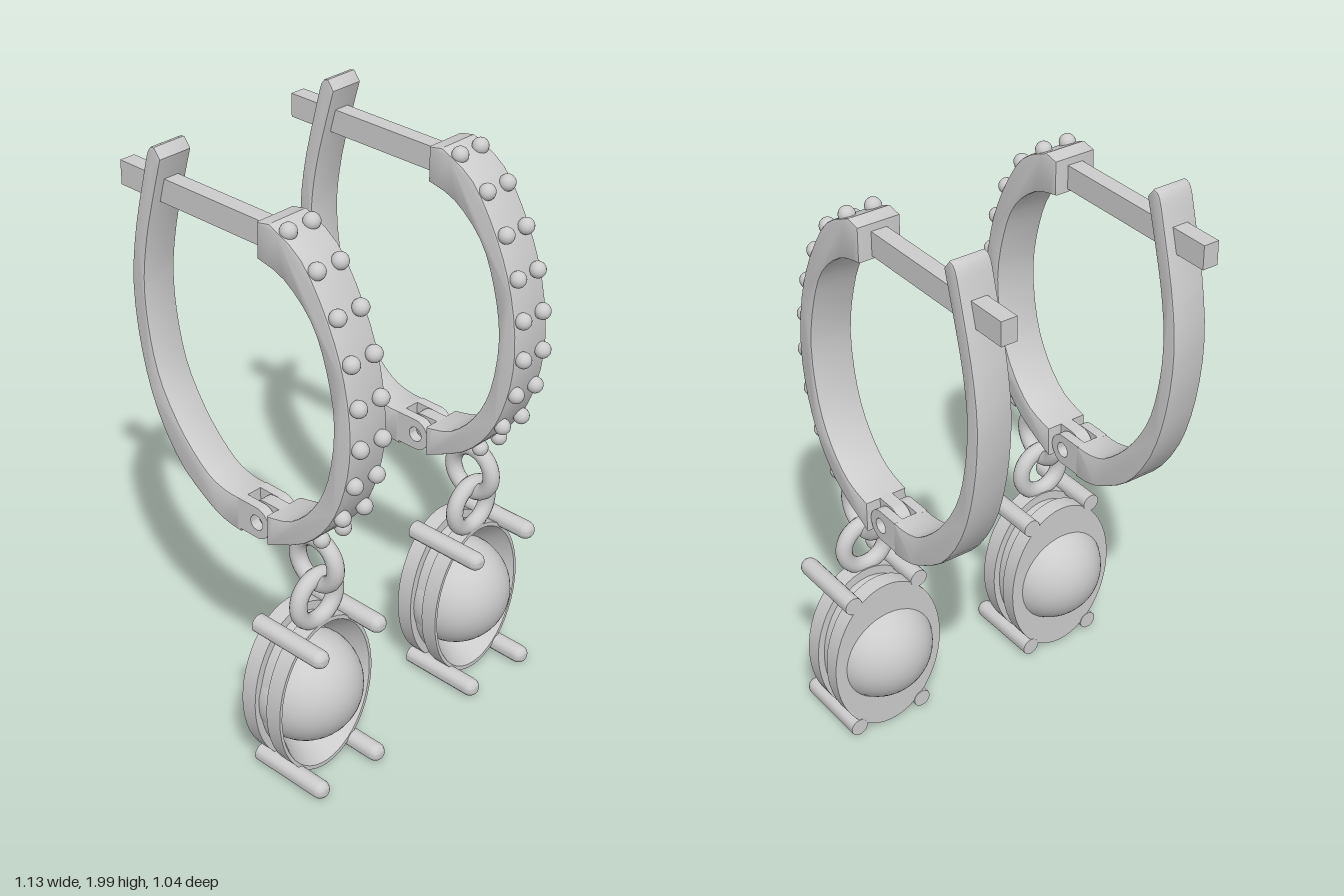
import * as THREE from 'three';
import { toCreasedNormals } from 'three/addons/utils/BufferGeometryUtils.js';

const material = new THREE.MeshStandardMaterial({ color: 0xcccccc });

function addMesh(parent, name, geometry, x = 0, y = 0, z = 0) {
  const mesh = new THREE.Mesh(geometry, material);
  mesh.name = name;
  mesh.position.set(x, y, z);
  parent.add(mesh);
  return mesh;
}

const toVectors = (pts) => pts.map(([z, y]) => new THREE.Vector2(z, y));
const smooth = (pts, n) => new THREE.SplineCurve(toVectors(pts)).getPoints(n);

// Extrude a side profile drawn in (z, y) across x, centred on x = 0
function sideExtrude(shape, width, bevel = 0) {
  const geo = new THREE.ExtrudeGeometry(shape, {
    depth: width - 2 * bevel, curveSegments: 20, bevelEnabled: bevel > 0,
    bevelSize: bevel, bevelThickness: bevel, bevelOffset: -bevel, bevelSegments: 2,
  });
  geo.translate(0, 0, -(width - 2 * bevel) / 2);
  geo.rotateY(-Math.PI / 2);
  return toCreasedNormals(geo, 0.6);
}

// Hinge knuckle with a pin hole and an arm reaching from its centre along z
function knuckle(reach, width) {
  const r = 0.055, s = Math.sign(reach);
  const shape = new THREE.Shape();
  shape.moveTo(reach, r);
  shape.lineTo(0, r);
  shape.absarc(0, 0, r, Math.PI / 2, -Math.PI / 2, s < 0);
  shape.lineTo(reach, -r);
  const hole = new THREE.Path();
  hole.absarc(0, 0, 0.026, 0, Math.PI * 2, false);
  shape.holes.push(hole);
  return sideExtrude(shape, width);
}

function createHoop() {
  const hoop = new THREE.Group();
  hoop.name = 'hoop';

  // Front band: outer curve down, inner curve back up
  const bandOuter = [[0.165, 1.925], [0.29, 1.857], [0.394, 1.7], [0.458, 1.53], [0.482, 1.34],
    [0.458, 1.17], [0.394, 1.02], [0.288, 0.907], [0.13, 0.828]];
  const bandInner = [[0.13, 0.934], [0.235, 0.965], [0.325, 1.05], [0.389, 1.18], [0.415, 1.37],
    [0.384, 1.544], [0.325, 1.677], [0.22, 1.77], [0.115, 1.8]];
  const band = new THREE.Shape([...smooth(bandOuter, 24), ...smooth(bandInner, 24),
    new THREE.Vector2(0.115, 1.915)]);
  addMesh(hoop, 'frontBand', sideExtrude(band, 0.15, 0.006));

  // Two rows of beads
  const beads = [[0.214, 1.91], [0.325, 1.825], [0.405, 1.708], [0.458, 1.58], [0.486, 1.448],
    [0.494, 1.316], [0.472, 1.183], [0.424, 1.05], [0.337, 0.934]];
  const beadGeo = new THREE.SphereGeometry(0.027, 16, 12);
  for (const [z, y] of beads) {
    for (const side of [-1, 1]) addMesh(hoop, 'bead', beadGeo, side * 0.046, y, z);
  }

  // Rear lever with a flared, rounded tip
  const leverOuter = [[0.0, 0.812], [-0.07, 0.82], [-0.15, 0.854], [-0.272, 0.944], [-0.373, 1.1],
    [-0.431, 1.29], [-0.453, 1.5], [-0.431, 1.69], [-0.378, 1.9], [-0.352, 1.985], [-0.325, 2.0]];
  const leverInner = [[-0.3, 1.968], [-0.336, 1.846], [-0.378, 1.687], [-0.4, 1.53], [-0.389, 1.37],
    [-0.347, 1.21], [-0.257, 1.066], [-0.15, 0.965], [-0.07, 0.935], [0.0, 0.932]];
  const lever = new THREE.Shape([...smooth(leverOuter, 28), ...smooth(leverInner, 28)]);
  addMesh(hoop, 'lever', sideExtrude(lever, 0.122, 0.005));

  // Hinge: two lever cheeks around the tongue of the band
  const cheek = knuckle(-0.08, 0.034), tongue = knuckle(0.08, 0.046);
  for (const side of [-1, 1]) addMesh(hoop, 'hingeCheek', cheek, side * 0.044, 0.877, 0.072);
  addMesh(hoop, 'hingeTongue', tongue, 0, 0.88, 0.072);

  // Straight ear post
  addMesh(hoop, 'earPost', new THREE.BoxGeometry(0.055, 0.08, 0.65), 0, 1.85, -0.195);

  // Two interlocking links
  const link = new THREE.TorusGeometry(0.081, 0.028, 14, 36);
  addMesh(hoop, 'upperLink', link, 0, 0.803, 0.27).rotation.y = Math.PI / 2;
  addMesh(hoop, 'lowerLink', link, 0, 0.665, 0.27);
  return hoop;
}

function createPendant() {
  const pendant = new THREE.Group();
  pendant.name = 'pendant';
  pendant.position.y = 0.297;

  // Oval setting: flat back plate, groove, front bezel and sloping bowl (radius, z)
  const profile = [[0, 0.13], [1, 0.13], [1, 0.187], [0.89, 0.187], [0.89, 0.238], [1, 0.238],
    [1, 0.297], [0.95, 0.297], [0.72, 0.2], [0, 0.2]];
  const setting = new THREE.LatheGeometry(toVectors(profile), 48);
  setting.rotateX(Math.PI / 2);
  setting.scale(0.207, 0.288, 1);
  addMesh(pendant, 'setting', toCreasedNormals(setting, 0.6));

  // Round stone
  const stone = new THREE.SphereGeometry(0.187, 40, 28);
  stone.rotateX(Math.PI / 2);
  addMesh(pendant, 'stone', stone, -0.005, 0, 0.208);

  // Four prongs, flat at the back and domed in front
  const prongProfile = [new THREE.Vector2(0, 0.128), new THREE.Vector2(0.031, 0.128)];
  for (let i = 0; i <= 6; i++) {
    const a = (i / 6) * Math.PI / 2;
    prongProfile.push(new THREE.Vector2(0.031 * Math.cos(a), 0.392 + 0.031 * Math.sin(a)));
  }
  const prong = toCreasedNormals(new THREE.LatheGeometry(prongProfile, 18).rotateX(Math.PI / 2), 0.6);
  for (const x of [-0.127, 0.127]) {
    for (const y of [-0.258, 0.258]) addMesh(pendant, 'prong', prong, x, y, 0);
  }
  return pendant;
}

export function createModel() {
  const model = new THREE.Group();
  model.name = 'earrings';
  for (const [name, x] of [['rightEarring', -0.36], ['leftEarring', 0.36]]) {
    const earring = new THREE.Group();
    earring.name = name;
    earring.position.x = x;
    const hoop = createHoop();
    hoop.position.x = -0.013;
    earring.add(hoop, createPendant());
    model.add(earring);
  }
  return model;
}
